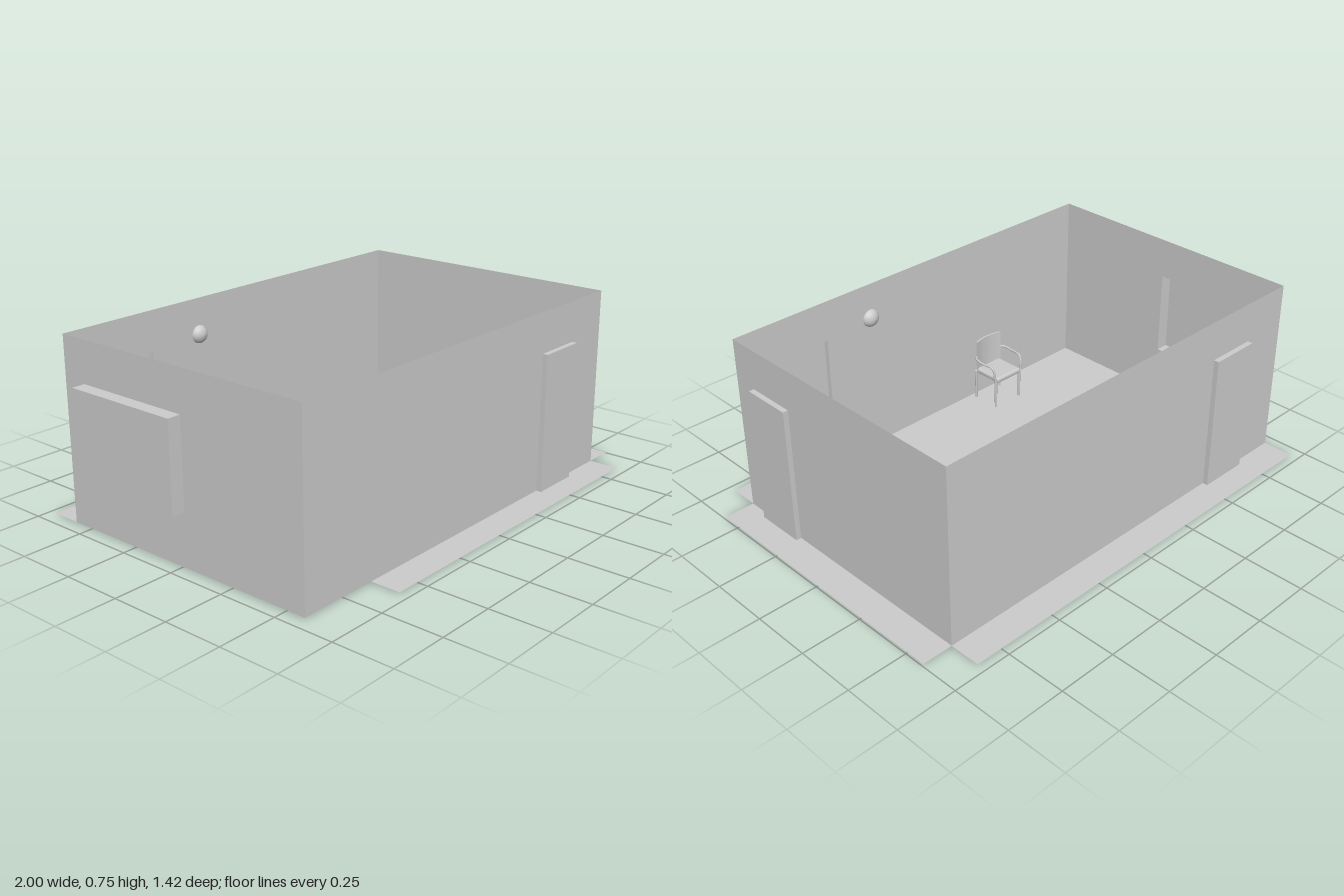
import * as THREE from 'three';
import { RoundedBoxGeometry } from 'three/addons/geometries/RoundedBoxGeometry.js';

const FLOOR = 0.005, TOP = 0.75;

export function createModel() {
  const model = new THREE.Group();
  model.name = 'room';
  const grey = new THREE.MeshStandardMaterial({ color: 0xcccccc, side: THREE.DoubleSide });
  grey.name = 'plain grey';

  const add = (parent, name, geometry, x = 0, y = 0, z = 0) => {
    const mesh = new THREE.Mesh(geometry, grey);
    mesh.name = name;
    mesh.position.set(x, y, z);
    parent.add(mesh);
    return mesh;
  };
  const points = (list) => list.map(([x, y]) => new THREE.Vector2(x, y));

  // Floor sheet, reaching out past the walls except at notched corners
  const floorShape = new THREE.Shape(points([
    [-0.945, 0.715], [-0.945, -0.585], [-0.605, -0.585], [-0.605, -0.71], [0.865, -0.71],
    [0.865, -0.585], [0.995, -0.585], [0.995, 0.585], [0.865, 0.585], [0.865, 0.715],
  ]));
  add(model, 'floor', new THREE.ShapeGeometry(floorShape).rotateX(-Math.PI / 2), 0, FLOOR, 0);

  // Box without the given faces (0 +x, 1 -x, 2 +y, 3 -y, 4 +z, 5 -z)
  const openBox = (w, h, d, open) => {
    const box = new THREE.BoxGeometry(w, h, d);
    const index = Array.from(box.index.array).filter((_, i) => !open.includes(Math.floor(i / 6)));
    box.setIndex(index);
    box.clearGroups();
    return box;
  };

  // Thin wall facing local +z, with one opening pushed outward as a recess
  const addWall = (name, width, x, z, turn, [x0, x1, y0, y1, depth], recessName) => {
    const wall = new THREE.Group();
    wall.name = name;
    wall.position.set(x, 0, z);
    wall.rotation.y = turn;
    const h = width / 2, onFloor = y0 <= FLOOR;
    const opening = [[x0, y0], [x0, y1], [x1, y1], [x1, y0]];
    const shape = new THREE.Shape(points([
      [-h, FLOOR], ...(onFloor ? opening : []), [h, FLOOR], [h, TOP], [-h, TOP],
    ]));
    if (!onFloor) shape.holes.push(new THREE.Path(points(opening)));
    add(wall, name + 'Panel', new THREE.ShapeGeometry(shape));
    add(wall, recessName, openBox(x1 - x0, y1 - y0, depth, onFloor ? [3, 5] : [5]),
      (x0 + x1) / 2, (y0 + y1) / 2, depth / 2);
    model.add(wall);
  };
  const door = (x0, x1) => [x0, x1, FLOOR, 0.58, 0.022];
  addWall('frontWall', 1.81, -0.04, 0.585, 0, door(0.48, 0.695), 'frontDoor');
  addWall('backWall', 1.81, -0.04, -0.585, Math.PI, door(0.48, 0.695), 'backDoor');
  addWall('leftWall', 1.17, 0.865, 0, Math.PI / 2, door(-0.48, -0.27), 'sideDoor');
  addWall('rightWall', 1.17, -0.945, 0, -Math.PI / 2, [-0.48, 0.025, 0.22, 0.58, 0.055], 'window');

  // Round wall lamps on the inner faces of the long walls
  const lampProfile = points([[0.038, 0], [0.037, 0.007], [0.031, 0.016], [0.022, 0.023], [0.012, 0.027], [0, 0.029]]);
  for (const [x, side] of [[-0.275, -1], [0.22, 1]]) {
    const lamp = add(model, 'wallLamp', new THREE.LatheGeometry(lampProfile, 16), x, 0.6, side * 0.585);
    lamp.rotation.x = -side * Math.PI / 2;
  }

  // Armchair with its back to the front wall
  const chair = new THREE.Group();
  chair.name = 'armchair';
  chair.position.set(-0.405, 0, 0.49);
  model.add(chair);
  add(chair, 'seat', new RoundedBoxGeometry(0.14, 0.025, 0.14, 3, 0.01), 0, 0.14, 0);

  // Curved backrest panel
  const back = new THREE.BoxGeometry(0.14, 0.15, 0.008, 10, 1, 1);
  const p = back.attributes.position;
  for (let i = 0; i < p.count; i++) p.setZ(i, p.getZ(i) - 2.5 * p.getX(i) ** 2);
  back.computeVertexNormals();
  add(chair, 'backrest', back, 0, 0.21, 0.075);

  const tube = (list, r) => new THREE.TubeGeometry(
    new THREE.CatmullRomCurve3(list.map((v) => new THREE.Vector3(...v))), 16, r, 8);
  for (const s of [-1, 1]) {
    // Bowed arm from the front leg round to the backrest
    add(chair, 'arm', tube([[s * 0.076, 0.13, -0.06], [s * 0.084, 0.2, -0.05], [s * 0.09, 0.205, 0.01],
      [s * 0.085, 0.21, 0.05], [s * 0.068, 0.21, 0.066]], 0.005));
    for (const z of [-0.057, 0.068]) {
      add(chair, 'leg', new THREE.CylinderGeometry(0.007, 0.005, 0.14, 8), s * 0.072, 0.07, z);
    }
  }
  return model;
}
